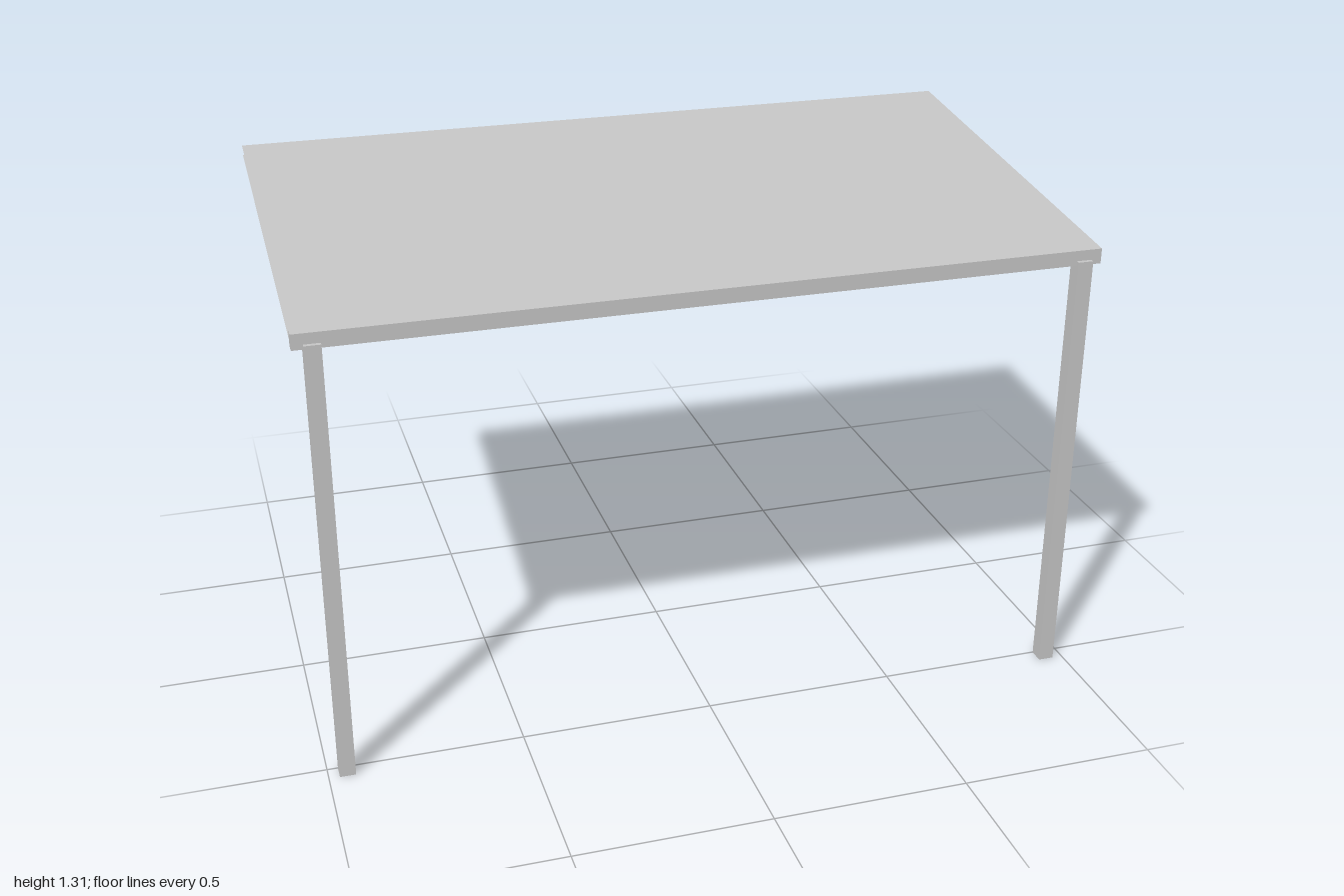
import * as THREE from 'three';

export function createModel() {
  const model = new THREE.Group();
  model.name = 'canopy';
  const grey = new THREE.MeshStandardMaterial({ color: 0xc4c4c4, side: THREE.DoubleSide });
  grey.name = 'light grey';

  // Box given by its minimum and maximum corners
  function box(name, min, max) {
    const size = max.map((v, i) => v - min[i]);
    const mesh = new THREE.Mesh(new THREE.BoxGeometry(...size), grey);
    mesh.position.set(...max.map((v, i) => (v + min[i]) / 2));
    mesh.name = name;
    model.add(mesh);
  }

  // Front posts and the beam they carry
  box('leftPost', [0.933, 0, 0.501], [0.973, 1.152, 0.54]);
  box('rightPost', [-0.973, 0, 0.501], [-0.933, 1.152, 0.54]);
  box('frontBeam', [-1, 1.14, 0.501], [1, 1.179, 0.529]);

  // Roof: two thin parallel sheets rising to the back, open at the edges
  const frontZ = 0.528, backZ = -0.54, rise = 0.128, gap = 0.026;
  const depth = frontZ - backZ;
  function roofSheet(name, frontY) {
    const sheet = new THREE.Mesh(new THREE.PlaneGeometry(2, Math.hypot(depth, rise)), grey);
    sheet.rotation.x = -Math.PI / 2 + Math.atan2(rise, depth);
    sheet.position.set(0, frontY + rise / 2, (frontZ + backZ) / 2);
    sheet.name = name;
    model.add(sheet);
  }
  roofSheet('roofTop', 1.179);
  roofSheet('roofUnderside', 1.179 - gap);

  return model;
}
